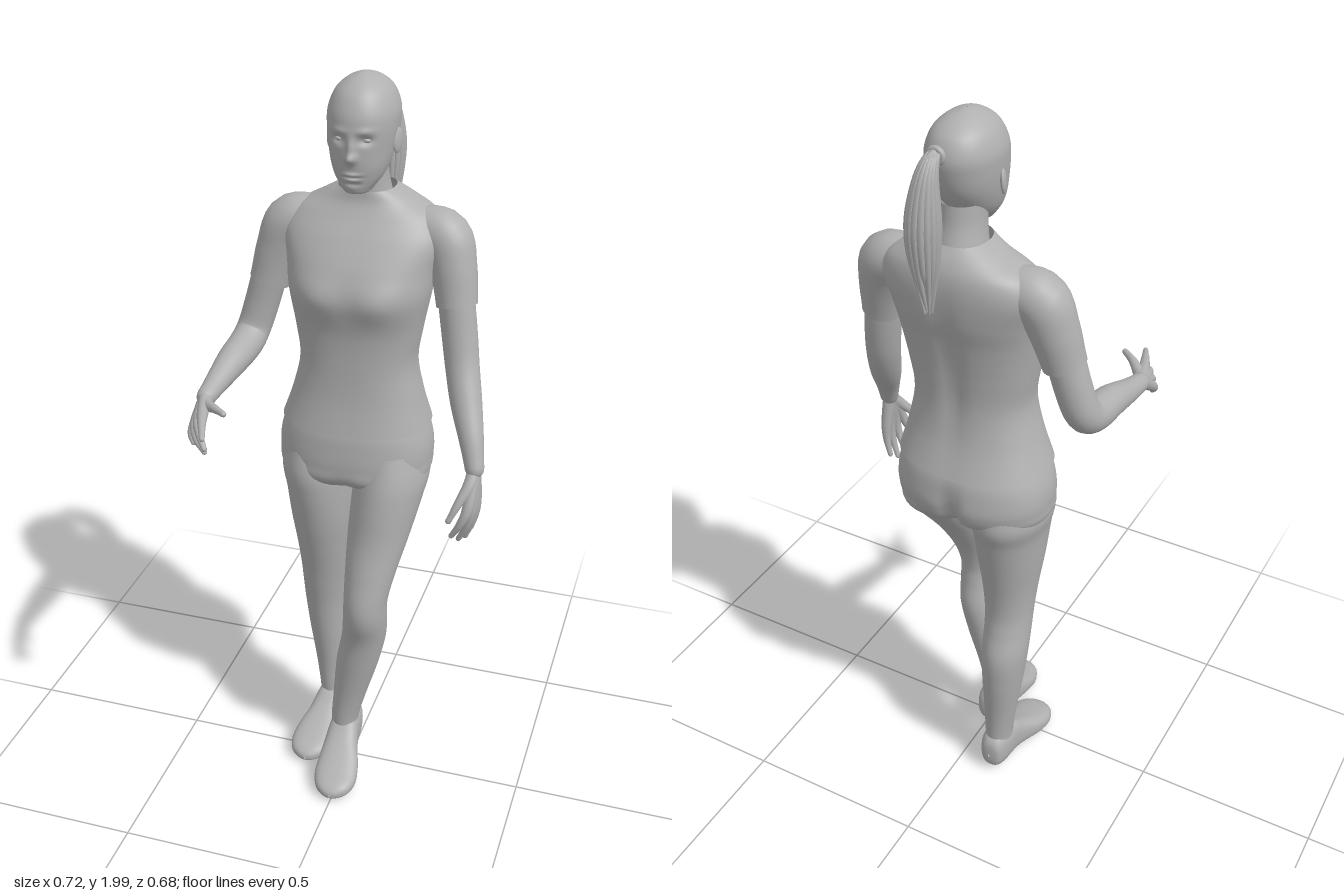
import * as THREE from 'three';

const grey = new THREE.MeshStandardMaterial({ color: 0xb0b0b0, side: THREE.DoubleSide });
grey.name = 'plainGrey';

// Catmull-Rom interpolation of every channel of a table of sections
function sample(rows, t) {
  const f = t * (rows.length - 1), i = Math.min(Math.floor(f), rows.length - 2), u = f - i;
  const p = (k) => rows[Math.max(0, Math.min(rows.length - 1, k))];
  return rows[i].map((_, c) => {
    const a = p(i - 1)[c], b = p(i)[c], d = p(i + 1)[c], e = p(i + 2)[c];
    return b + 0.5 * u * (d - a + u * (2 * a - 5 * b + 4 * d - e + u * (3 * (b - d) + e - a)));
  });
}

// Smooth skin over rings of points, wrapped without a seam
function skin(name, rings) {
  const n = rings[0].length, pos = [], idx = [];
  rings.forEach((r) => r.forEach((v) => pos.push(v.x, v.y, v.z)));
  for (let j = 0; j < rings.length - 1; j++) for (let i = 0; i < n; i++) {
    const a = j * n + i, b = j * n + (i + 1) % n;
    idx.push(a, a + n, b, b, a + n, b + n);
  }
  const g = new THREE.BufferGeometry();
  g.setAttribute('position', new THREE.Float32BufferAttribute(pos, 3));
  g.setIndex(idx);
  g.computeVertexNormals();
  return named(name, g);
}

function named(name, geometry) {
  const m = new THREE.Mesh(geometry, grey);
  m.name = name;
  return m;
}

// Loft of rounded sections [height, x0, x1, d0, d1] along y (or along z when alongZ)
function loft(name, rows, { seg = 40, steps = 8, p = 2, alongZ = false, deform } = {}) {
  const rings = [], count = (rows.length - 1) * steps;
  for (let j = 0; j <= count; j++) {
    const [h, x0, x1, d0, d1] = sample(rows, j / count), ring = [];
    for (let i = 0; i < seg; i++) {
      const t = i / seg * Math.PI * 2, c = Math.cos(t), s = Math.sin(t);
      const q = (v) => Math.sign(v) * Math.abs(v) ** (2 / p);
      const x = (x0 + x1) / 2 + (x1 - x0) / 2 * q(c), r = (d1 - d0) / 2 * q(s), m = (d0 + d1) / 2;
      const v = alongZ ? new THREE.Vector3(x, m - r, h) : new THREE.Vector3(x, h, m + r);
      if (deform) deform(v, s);
      ring.push(v);
    }
    rings.push(ring);
  }
  return skin(name, rings);
}

// Round limb through points [x, y, z, radius], with rounded ends when closed
function limb(name, pts, { seg = 20, steps = 6, closed = true } = {}) {
  const curve = new THREE.CatmullRomCurve3(pts.map((q) => new THREE.Vector3(...q)), false, 'catmullrom', 0.5);
  const n = (pts.length - 1) * steps, f = curve.computeFrenetFrames(n), rings = [];
  curve.arcLengthDivisions = 100;
  const add = (j, k, shift) => {
    const u = curve.getUtoTmapping(j / n), c = curve.getPoint(u), r = Math.max(0.0005, sample(pts, u)[3]);
    c.addScaledVector(f.tangents[j], shift * r);
    rings.push(Array.from({ length: seg }, (_, i) => {
      const t = i / seg * Math.PI * 2;
      return c.clone().addScaledVector(f.normals[j], Math.cos(t) * r * k)
        .addScaledVector(f.binormals[j], -Math.sin(t) * r * k);
    }));
  };
  const cap = [[0.01, 1], [0.5, 0.87], [0.87, 0.5]];
  if (closed) cap.forEach(([k, s]) => add(0, k, -s));
  for (let j = 0; j <= n; j++) add(j, 1, 0);
  if (closed) [...cap].reverse().forEach(([k, s]) => add(n, k, s));
  return skin(name, rings);
}

function ball(name, x, y, z, sx, sy, sz) {
  const m = named(name, new THREE.SphereGeometry(1, 24, 16));
  m.position.set(x, y, z);
  m.scale.set(sx, sy, sz);
  return m;
}

const bump = (a, b, sa, sb) => Math.exp(-((a / sa) ** 2) - (b / sb) ** 2);

function buildHead() {
  const g = new THREE.Group();
  g.name = 'head';
  g.add(loft('skull', [
    [1.722, -0.012, -0.008, -0.09, -0.07], [1.727, -0.04, 0.02, -0.12, -0.043], [1.74, -0.052, 0.032, -0.14, -0.034],
    [1.765, -0.07, 0.05, -0.17, -0.029], [1.795, -0.082, 0.062, -0.2, -0.023], [1.835, -0.091, 0.071, -0.228, -0.021],
    [1.88, -0.096, 0.077, -0.243, -0.02], [1.92, -0.095, 0.076, -0.247, -0.026], [1.96, -0.079, 0.06, -0.23, -0.047],
    [1.985, -0.052, 0.034, -0.195, -0.078], [1.997, -0.025, 0.007, -0.158, -0.11], [2.0, -0.011, -0.009, -0.135, -0.133],
  ], { seg: 96, steps: 12, p: 2.1, deform(v, s) {
    if (s <= 0) return;
    const x = v.x + 0.01, e = Math.abs(x) - 0.033, y = v.y;
    v.z += 0.018 * bump(x, y - 1.82, 0.013, 0.012) + 0.011 * bump(x, y - 1.843, 0.009, 0.024) // nose
      - 0.011 * bump(e, y - 1.862, 0.017, 0.011) + 0.004 * bump(e, y - 1.884, 0.022, 0.008) // eye sockets, brows
      + 0.006 * bump(x, y - 1.779, 0.02, 0.005) + 0.006 * bump(x, y - 1.765, 0.017, 0.005) // lips
      - 0.003 * bump(x, y - 1.772, 0.022, 0.002) - 0.004 * bump(x, y - 1.754, 0.02, 0.006);
  } }));
  for (const s of [-1, 1]) {
    g.add(ball('eye', -0.01 + s * 0.033, 1.862, -0.044, 0.012, 0.007, 0.011));
    const ear = ball('ear', -0.01 + s * 0.086, 1.843, -0.128, 0.007, 0.031, 0.019);
    ear.rotation.set(-0.15, s * -0.35, 0);
    g.add(ear);
  }
  g.add(loft('neck', [[1.63, -0.09, 0.07, -0.25, -0.1], [1.7, -0.072, 0.052, -0.236, -0.1],
    [1.75, -0.065, 0.045, -0.222, -0.095], [1.8, -0.065, 0.045, -0.215, -0.09]]));
  return g;
}

function buildPonytail() {
  const g = new THREE.Group();
  g.name = 'ponytail';
  const path = [[-0.003, 1.93, -0.24, 0.008], [0, 1.938, -0.268, 0.012], [0.004, 1.89, -0.292, 0.022],
    [0.009, 1.79, -0.3, 0.033], [0.01, 1.69, -0.297, 0.027], [0.01, 1.59, -0.287, 0.008]];
  g.add(limb('hairCore', path));
  for (let k = 0; k < 16; k++) {
    const a = k / 16 * Math.PI * 2, drop = 0.03 * Math.sin(k * 2.4);
    g.add(limb('hairStrand', path.map(([x, y, z, r], i) => [x + Math.cos(a) * r,
      y + (i === 5 ? drop : 0), z + Math.sin(a) * r, [0.005, 0.006, 0.008, 0.01, 0.008, 0.003][i]]), { seg: 8 }));
  }
  const tie = named('hairTie', new THREE.TorusGeometry(0.017, 0.007, 10, 24));
  tie.position.set(-0.002, 1.934, -0.257);
  g.add(tie);
  return g;
}

// Hand made of fingers that run side by side from the wrist, over a palm
function buildHand(name, wrist, fingers, thumb) {
  const g = new THREE.Group();
  g.name = name;
  fingers.forEach(([k, m, t]) => g.add(limb('finger',
    [[...wrist, 0.018], [...k, 0.0145], [...m, 0.0105], [...t, 0.007]], { seg: 12 })));
  g.add(limb('thumb', [[...wrist, 0.017], [...thumb[0], 0.016], [...thumb[1], 0.011], [...thumb[2], 0.008]], { seg: 12 }));
  return g;
}

function buildShoe(name, side, dx, dz, heel) {
  const rows = [[-0.083, -0.022, -0.018, 0.05, 0.06], [-0.076, -0.046, 0.008, 0.015, 0.1], [-0.045, -0.06, 0.02, 0, 0.125],
    [0.015, -0.063, 0.026, 0, 0.128], [0.06, -0.066, 0.036, 0, 0.1], [0.1, -0.068, 0.05, 0, 0.08], [0.15, -0.066, 0.057, 0, 0.062],
    [0.19, -0.05, 0.046, 0.003, 0.048], [0.211, -0.026, 0.022, 0.008, 0.034], [0.218, -0.004, 0, 0.015, 0.022]];
  return loft(name, rows.map(([z, a, b, c, d]) => {
    const lift = 0.006 + heel * (0.15 - Math.min(z, 0.15));
    const [x0, x1] = side > 0 ? [a, b] : [-b, -a];
    return [z + dz, x0 + dx, x1 + dx, c + lift, d + lift];
  }), { p: 2.5, alongZ: true });
}

export function createModel() {
  const model = new THREE.Group();
  model.name = 'standingFigure';
  model.add(buildHead(), buildPonytail());

  // Shirt with bust and a shallow spine groove
  model.add(loft('shirt', [
    [1.09, -0.222, 0.178, -0.277, 0.022], [1.18, -0.19, 0.155, -0.246, 0.006], [1.27, -0.17, 0.14, -0.233, 0],
    [1.36, -0.181, 0.152, -0.238, 0.002], [1.46, -0.197, 0.171, -0.255, 0.017], [1.53, -0.207, 0.18, -0.273, 0],
    [1.6, -0.22, 0.195, -0.28, -0.04], [1.65, -0.195, 0.17, -0.276, -0.075], [1.685, -0.135, 0.115, -0.262, -0.095],
    [1.715, -0.082, 0.062, -0.24, -0.1]], { seg: 64, p: 2.35, deform(v, s) {
    if (s > 0) v.z += 0.014 * bump(Math.abs(v.x + 0.013) - 0.08, v.y - 1.465, 0.06, 0.05);
    else v.z += 0.012 * bump(v.x + 0.015, v.y - 1.38, 0.025, 0.2);
  } }));
  model.add(limb('leftSleeve', [[0.11, 1.615, -0.175, 0.055], [0.19, 1.6, -0.165, 0.066],
    [0.22, 1.53, -0.148, 0.06], [0.238, 1.435, -0.128, 0.053]], { seg: 32, closed: false }));
  model.add(limb('rightSleeve', [[-0.135, 1.615, -0.175, 0.055], [-0.21, 1.6, -0.167, 0.066],
    [-0.243, 1.53, -0.16, 0.061], [-0.27, 1.435, -0.15, 0.054]], { seg: 32, closed: false }));

  // Arms
  model.add(limb('leftArm', [[0.23, 1.48, -0.135, 0.047], [0.25, 1.36, -0.118, 0.046], [0.265, 1.28, -0.098, 0.044],
    [0.287, 1.2, -0.06, 0.041], [0.315, 1.12, -0.012, 0.032], [0.333, 1.055, 0.018, 0.025]], { seg: 28 }));
  model.add(limb('rightArm', [[-0.262, 1.48, -0.15, 0.047], [-0.293, 1.37, -0.145, 0.046], [-0.313, 1.3, -0.13, 0.045],
    [-0.32, 1.272, -0.085, 0.045], [-0.325, 1.26, 0, 0.041], [-0.333, 1.24, 0.09, 0.031], [-0.337, 1.228, 0.155, 0.025]], { seg: 28 }));
  model.add(buildHand('leftHand', [0.333, 1.05, 0.02], [
    [[0.33, 0.965, 0.065], [0.315, 0.92, 0.078], [0.292, 0.88, 0.076]],
    [[0.337, 0.96, 0.045], [0.328, 0.905, 0.05], [0.305, 0.855, 0.045]],
    [[0.34, 0.96, 0.025], [0.335, 0.905, 0.026], [0.318, 0.852, 0.022]],
    [[0.339, 0.965, 0.006], [0.338, 0.915, 0.002], [0.328, 0.868, 0]]],
  [[0.325, 1.015, 0.05], [0.305, 0.975, 0.08], [0.287, 0.935, 0.095]]));
  model.add(buildHand('rightHand', [-0.337, 1.228, 0.16], [
    [[-0.315, 1.222, 0.235], [-0.297, 1.218, 0.285], [-0.277, 1.208, 0.334]],
    [[-0.325, 1.207, 0.238], [-0.308, 1.188, 0.278], [-0.286, 1.163, 0.304]],
    [[-0.334, 1.192, 0.235], [-0.321, 1.165, 0.265], [-0.296, 1.14, 0.28]],
    [[-0.343, 1.182, 0.222], [-0.344, 1.163, 0.243], [-0.336, 1.147, 0.253]]],
  [[-0.318, 1.226, 0.195], [-0.285, 1.237, 0.228], [-0.252, 1.24, 0.254]]));

  // Trousers: pelvis with a cleft behind, then each leg
  model.add(loft('pelvis', [
    [1.14, -0.19, 0.15, -0.24, -0.005], [1.09, -0.215, 0.17, -0.27, 0.015], [1.04, -0.23, 0.183, -0.281, 0.022],
    [0.99, -0.232, 0.185, -0.283, 0.025], [0.945, -0.222, 0.176, -0.262, 0.02], [0.91, -0.15, 0.11, -0.2, -0.03],
    [0.895, -0.025, -0.02, -0.12, -0.1]].reverse(), { seg: 64, p: 2.3, deform(v, s) {
    if (s < 0) v.z += 0.028 * bump(v.x + 0.022, v.y - 0.96, 0.022, 0.08);
    else v.z -= 0.012 * bump(v.x + 0.022, v.y - 0.92, 0.03, 0.04);
  } }));
  model.add(loft('leftLeg', [
    [1.03, 0.01, 0.165, -0.245, 0.005], [0.95, -0.015, 0.182, -0.255, 0.03], [0.88, -0.018, 0.172, -0.2, 0.043],
    [0.78, -0.018, 0.15, -0.125, 0.056], [0.68, -0.014, 0.125, -0.068, 0.08], [0.6, -0.012, 0.109, -0.045, 0.097],
    [0.54, -0.015, 0.106, -0.05, 0.094], [0.46, -0.025, 0.099, -0.066, 0.07], [0.36, -0.043, 0.077, -0.061, 0.058],
    [0.24, -0.053, 0.042, -0.05, 0.045], [0.15, -0.06, 0.019, -0.052, 0.041], [0.1, -0.056, 0.018, -0.05, 0.04]].reverse()));
  model.add(loft('rightLeg', [
    [1.03, -0.21, -0.05, -0.25, 0], [0.95, -0.226, -0.025, -0.264, 0.018], [0.88, -0.214, -0.026, -0.243, 0.014],
    [0.78, -0.203, -0.031, -0.218, -0.005], [0.68, -0.19, -0.042, -0.198, -0.03], [0.6, -0.184, -0.05, -0.193, -0.05],
    [0.54, -0.183, -0.055, -0.204, -0.062], [0.46, -0.182, -0.058, -0.226, -0.077], [0.36, -0.172, -0.06, -0.222, -0.09],
    [0.24, -0.155, -0.063, -0.207, -0.104], [0.15, -0.143, -0.065, -0.2, -0.106], [0.1, -0.14, -0.066, -0.198, -0.106]].reverse()));
  model.add(buildShoe('leftShoe', 1, 0, 0, 0.17), buildShoe('rightShoe', -1, -0.122, -0.133, 0.05));
  return model;
}
